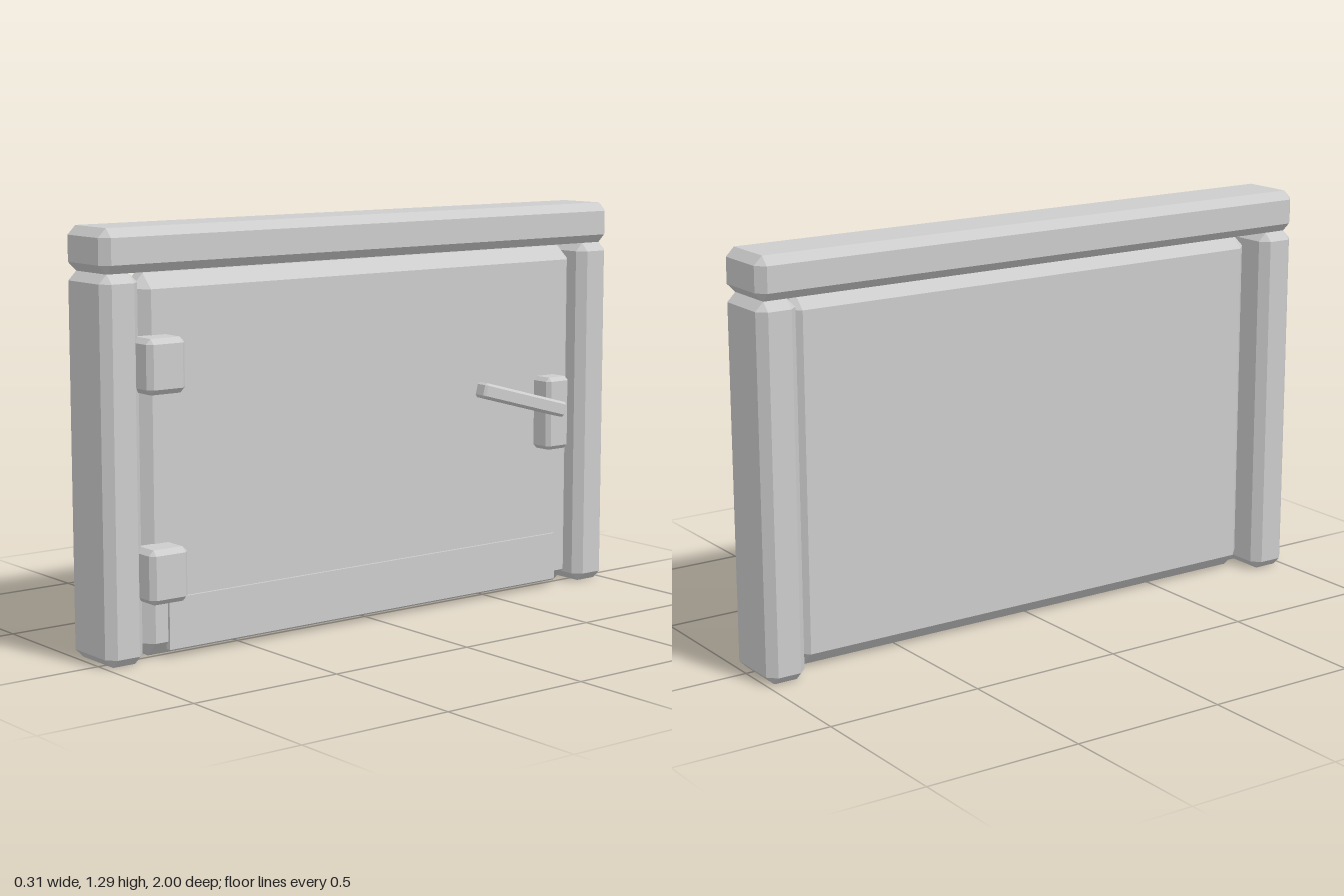
import * as THREE from 'three';
import { ConvexGeometry } from 'three/addons/geometries/ConvexGeometry.js';

const material = new THREE.MeshStandardMaterial({ color: 0xcccccc });
material.name = 'plain grey';

// Box with every edge and corner cut at 45 degrees
function chamferBox(w, h, d, c) {
  const points = [];
  for (const x of [-1, 1]) for (const y of [-1, 1]) for (const z of [-1, 1]) {
    for (let full = 0; full < 3; full++) {
      points.push(new THREE.Vector3(
        x * (w / 2 - (full === 0 ? 0 : c)),
        y * (h / 2 - (full === 1 ? 0 : c)),
        z * (d / 2 - (full === 2 ? 0 : c))
      ));
    }
  }
  return new ConvexGeometry(points);
}

export function createModel() {
  const model = new THREE.Group();
  model.name = 'framedDoor';

  // Each part is given by its [min, max] extents
  function addBlock(name, [x0, x1], [y0, y1], [z0, z1], chamfer) {
    const size = [x1 - x0, y1 - y0, z1 - z0];
    const geometry = chamfer ? chamferBox(...size, chamfer) : new THREE.BoxGeometry(...size);
    const mesh = new THREE.Mesh(geometry, material);
    mesh.name = name;
    mesh.position.set((x0 + x1) / 2, (y0 + y1) / 2, (z0 + z1) / 2);
    model.add(mesh);
    return mesh;
  }

  // Frame
  const frameX = [-0.153, 0.067];
  addBlock('frontPost', frameX, [0, 1.157], [0.87, 1], 0.027);
  addBlock('backPost', frameX, [0, 1.157], [-1, -0.87], 0.027);
  addBlock('topBeam', frameX, [1.157, 1.29], [-1, 1], 0.027);

  // Door leaf with its kick plate
  addBlock('doorPanel', [-0.087, 0.042], [0.005, 1.15], [-0.868, 0.868], 0.044);
  addBlock('kickPlate', [0.03, 0.051], [0.025, 0.182], [-0.777, 0.78]);

  // Hinges
  addBlock('lowerHinge', [0.02, 0.133], [0.188, 0.352], [0.76, 0.893], 0.016);
  addBlock('upperHinge', [0.02, 0.133], [0.808, 0.972], [0.76, 0.893], 0.016);

  // Handle
  addBlock('handlePlate', [0.02, 0.113], [0.482, 0.724], [-0.782, -0.685], 0.013);
  const lever = addBlock('handleLever', [0.1, 0.152], [0.642, 0.692], [-0.738, -0.368], 0.008);
  lever.rotation.x = -0.265;

  return model;
}
